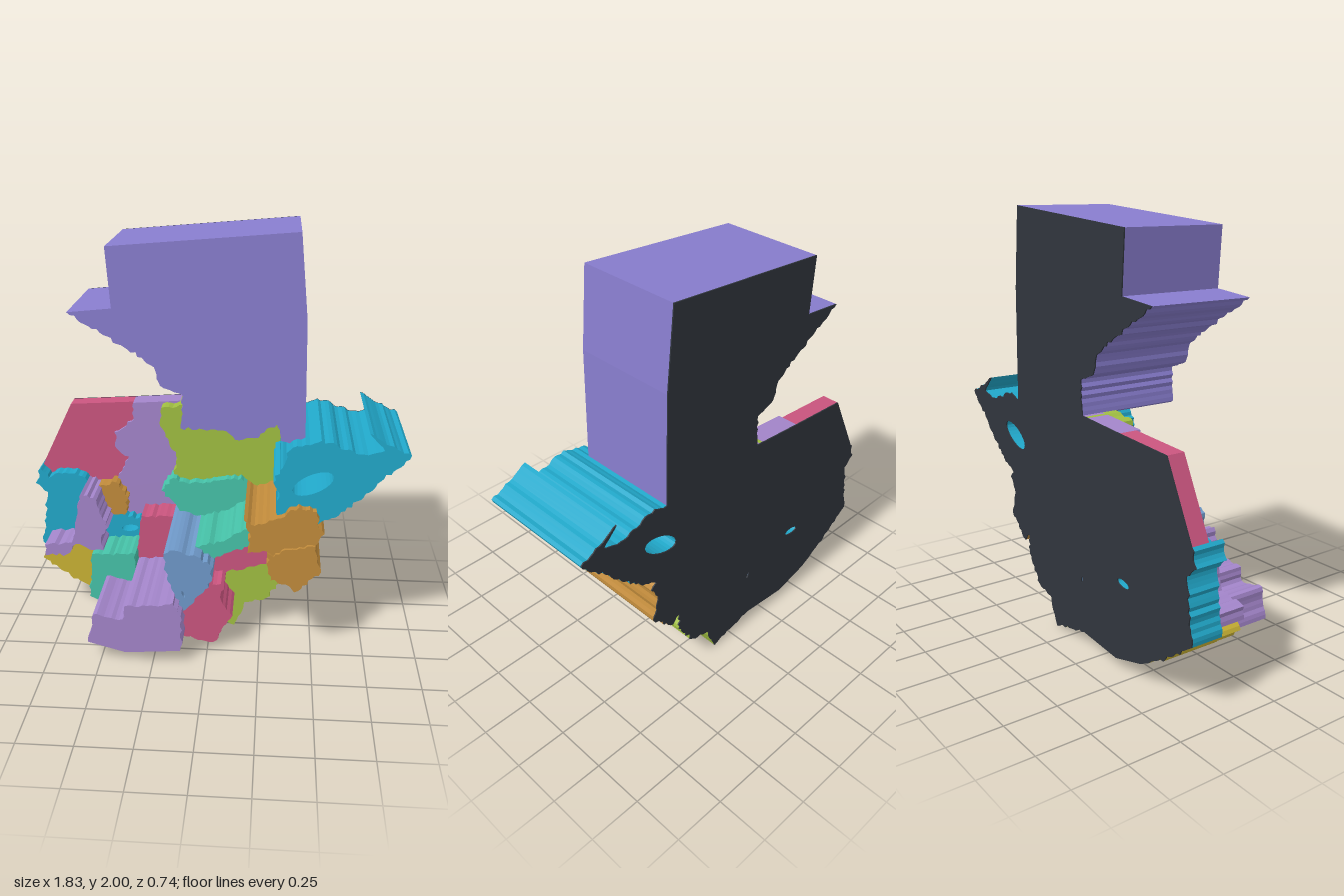
import * as THREE from 'three';

const BACK = -0.37, PLATE = 0.006;

const mat = (name, color) => Object.assign(new THREE.MeshStandardMaterial({ color }), { name });
const violet = mat('violet', 0x887dce), pink = mat('pink', 0xca557f), lilac = mat('lilac', 0xa385ca);
const olive = mat('olive green', 0xa0be41), cyan = mat('cyan', 0x21a8ca), orange = mat('orange', 0xc18b3b);
const teal = mat('teal', 0x46c2a8), blue = mat('soft blue', 0x6f99c9), mustard = mat('mustard', 0xc9b234);
const dark = mat('dark slate', 0x30353d);

// Corners where region borders meet, in hundredths
const CORNERS = {
  // around the outside
  a: [-13, 111], b: [-41, 109], c: [-89, 74], d: [-87, 30], e: [-62, 13], f: [-56, 10], g: [-12, 7],
  h: [3, 4], i: [37, 40], j: [50, 60], k: [51, 69], l: [44, 108], P: [-63, 164],
  // inside, from the west to the east
  m: [37, 105], n: [-65, 68], o: [-59, 66], p: [-50, 68], q: [-85, 33], r: [-60, 37], s: [-55, 37],
  t: [-52, 50], u: [-46, 50], v: [-37, 47], w: [-20, 54], x: [-17, 56], y: [-20, 74], z: [17, 72],
  A: [32, 73], B: [20, 65], C: [-6, 54], D: [3, 48], E: [19, 55], F: [28, 56], G: [30, 42], H: [8, 35],
  I: [1, 37], J: [-11, 24], K: [-15, 33], L: [-20, 46], M: [-24, 31], N: [-38, 30], O: [-38, 38],
};

// Bends on the way from one corner to another
const BENDS = {
  lP: [43, 162, 39.4, 200, -45, 193, -43, 166],
  Pa: [-47, 154, -30, 144, -24, 138, -22, 131, -12, 127],
  am: [8, 110, 12, 106, 21, 107, 31, 114, 33, 106],
  bc: [-73, 107],
  bp: [-41, 100, -51, 93, -50, 84, -44, 80],
  cn: [-85, 69, -80, 72, -71, 72],
  cd: [-92, 66, -86, 61, -88, 48, -90, 32],
  qn: [-85, 39, -71, 41],
  qr: [-74, 34, -69, 40],
  de: [-78, 23],
  pu: [-44, 60],
  ts: [-56, 44],
  vw: [-36, 54],
  ay: [-26, 109, -27, 101, -19, 84],
  yx: [-26, 67],
  yz: [-12, 71, 14, 75],
  zA: [22, 69],
  mA: [30, 89, 33, 82],
  BC: [6, 57],
  Fj: [31, 54, 36, 58],
  Ak: [42, 79, 50, 77],
  jk: [54, 66],
  kl: [63, 76, 91, 104, 72, 114, 79, 106, 70, 104, 51, 110],
  ij: [41, 36, 53, 47],
  hi: [12, 0.5, 17, 14, 28, 17, 37, 30],
  hH: [12, 19, 6, 29],
  fN: [-53, 25, -39, 23],
  fg: [-38, 5, -25, 6],
};
const STRAIGHT = ['lP', 'ab', 'bc', 'ef', 'fg'];

// Name, colour, front z, corners in order, optional lake [x, y, rx, ry, tilt]
const REGIONS = [
  ['northRegion', violet, 0.14, 'amlP'],
  ['northWestRegion', pink, -0.28, 'bcnop'],
  ['westCentralRegion', lilac, -0.26, 'abpuvwxy'],
  ['northCentralRegion', olive, -0.19, 'ayzAm'],
  ['eastCoastRegion', cyan, 0.23, 'mAkl', [0.48, 0.89, 0.1, 0.045, 0.45]],
  ['upperEastRegion', orange, 0.27, 'zBEFjkA'],
  ['lowerEastRegion', orange, 0.285, 'FGij'],
  ['centralRegion', teal, -0.14, 'yxCBz'],
  ['innerEastRegion', teal, 0.205, 'CDEB'],
  ['southEastInlandRegion', pink, 0.1, 'DIHGFE'],
  ['southEastRegion', olive, 0.02, 'HhiG'],
  ['southCentralRegion', pink, 0.235, 'gJIHh'],
  ['capitalRegion', blue, 0.29, 'wxCDIJKL', [-0.11, 0.33, 0.006, 0.018, 0.4]],
  ['smallInnerRegion', mustard, -0.1, 'LKM'],
  ['innerWestRegion', pink, -0.11, 'vwLMNO'],
  ['southCoastRegion', lilac, 0.37, 'fgJKMN'],
  ['southWestInnerRegion', teal, 0, 'efNOsr'],
  ['southWestCoastRegion', mustard, -0.08, 'dqre'],
  ['westRegion', cyan, -0.21, 'cdqn'],
  ['westValleyRegion', lilac, -0.045, 'notsrq'],
  ['smallWestRegion', orange, -0.2, 'oput'],
  ['lakeRegion', cyan, -0.2, 'tuvOs', [-0.435, 0.425, 0.043, 0.018, 0.1]],
];

// Split each segment and push the new points sideways a little
function roughen(pts, rand) {
  const out = [pts[0]];
  for (let i = 1; i < pts.length; i++) {
    const a = pts[i - 1], d = pts[i].clone().sub(a), len = d.length();
    const n = Math.max(2, Math.round(len / 0.018));
    const amp = Math.min(0.009, len * 0.12);
    for (let k = 1; k < n; k++) {
      const off = (rand() * 2 - 1) * amp / len;
      out.push(new THREE.Vector2(a.x + d.x * k / n - d.y * off, a.y + d.y * k / n + d.x * off));
    }
    out.push(pts[i]);
  }
  return out;
}

// Returns the border between two corners; neighbours share the same points
function borderMaker() {
  const made = {};
  let seed = 7;
  const rand = () => (seed = (seed * 16807) % 2147483647) / 2147483647;
  return (from, to) => {
    const back = to + from;
    if (made[back] || BENDS[back]) {
      made[back] ??= trace(back);
      return [...made[back]].reverse();
    }
    return (made[from + to] ??= trace(from + to));
  };
  function trace(key) {
    const flat = [...CORNERS[key[0]], ...(BENDS[key] ?? []), ...CORNERS[key[1]]];
    const pts = [];
    for (let i = 0; i < flat.length; i += 2) pts.push(new THREE.Vector2(flat[i], flat[i + 1]).divideScalar(100));
    return STRAIGHT.includes(key) ? pts : roughen(pts, rand);
  }
}

function slab(shape, z0, z1, material, name) {
  const geo = new THREE.ExtrudeGeometry(shape, { depth: z1 - z0, bevelEnabled: false, curveSegments: 12 });
  const mesh = new THREE.Mesh(geo.translate(0, 0, z0), material);
  mesh.name = name;
  return mesh;
}

export function createModel() {
  const model = new THREE.Group();
  model.name = 'reliefMap';
  const backing = new THREE.Group();
  backing.name = 'backing';
  const border = borderMaker();

  for (const [name, material, front, corners, lake] of REGIONS) {
    const loop = [...corners].flatMap((c, i) => border(c, corners[(i + 1) % corners.length]).slice(0, -1));
    const shape = new THREE.Shape(loop);
    if (lake) {
      const [x, y, rx, ry, tilt] = lake;
      shape.holes.push(new THREE.Path().absellipse(x, y, rx, ry, 0, Math.PI * 2, false, tilt));
    }
    // Raised block and its share of the dark back plate
    model.add(slab(shape, BACK + PLATE, front, material, name));
    backing.add(slab(shape, BACK, BACK + PLATE, dark, name + 'Back'));
  }
  model.add(backing);
  return model;
}
